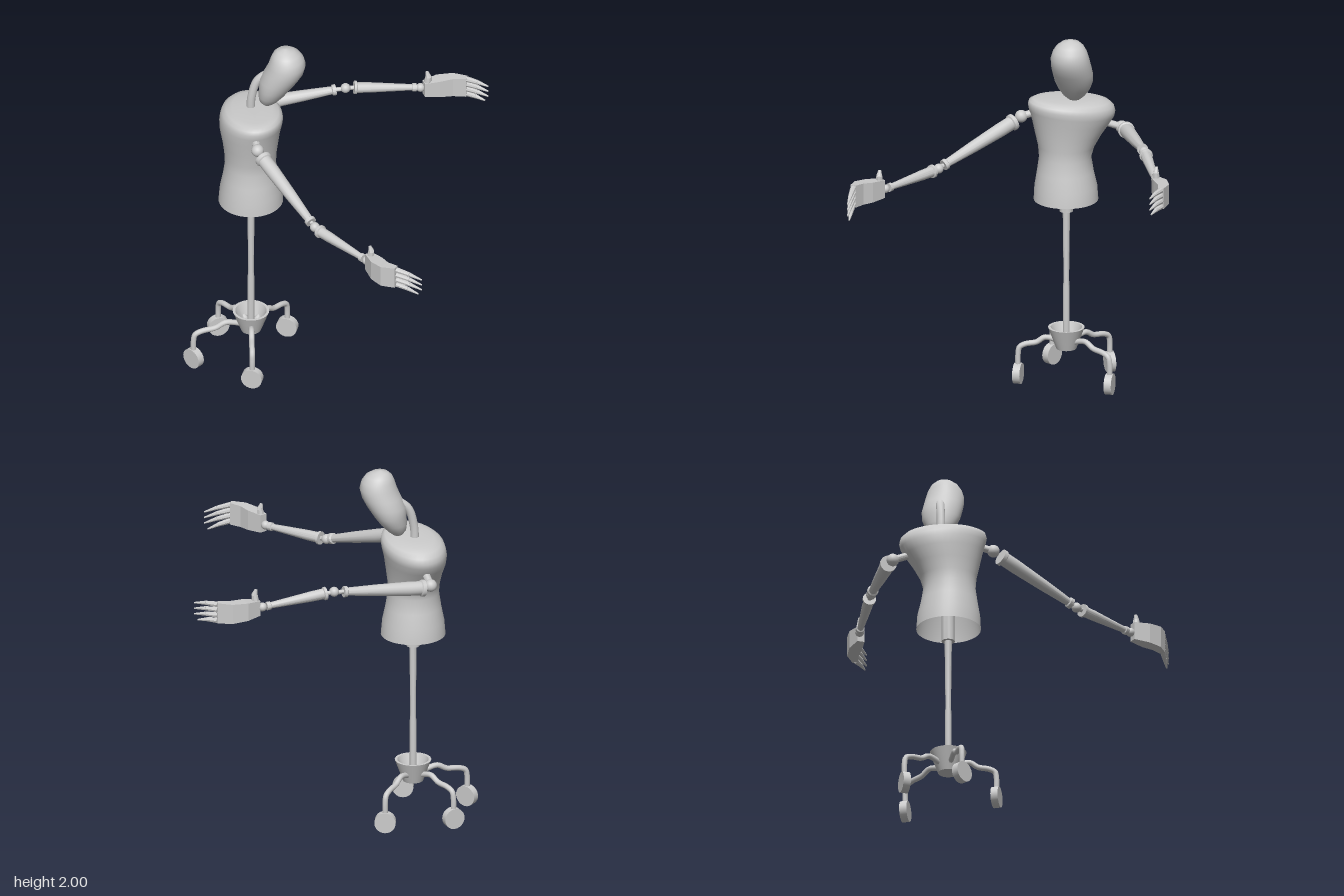
import * as THREE from 'three';
import { toCreasedNormals } from 'three/addons/utils/BufferGeometryUtils.js';

const V = (x, y, z) => new THREE.Vector3(x, y, z);
const UP = V(0, 1, 0);
const material = new THREE.MeshStandardMaterial({ color: 0xcccccc });
const openMaterial = new THREE.MeshStandardMaterial({ color: 0xcccccc, side: THREE.DoubleSide });
const flatMaterial = new THREE.MeshStandardMaterial({ color: 0xcccccc, flatShading: true });

function add(group, name, geometry, mat = material) {
  const mesh = new THREE.Mesh(geometry, mat);
  mesh.name = name;
  group.add(mesh);
  return mesh;
}

// Skin joining closed rings of points, with optional flat caps
function loft(rings, capStart, capEnd) {
  const n = rings[0].length;
  const pos = rings.flat().flatMap((p) => [p.x, p.y, p.z]);
  const index = [];
  for (let i = 0; i < rings.length - 1; i++) {
    for (let j = 0; j < n; j++) {
      const a = i * n + j, b = i * n + ((j + 1) % n);
      index.push(a, b, b + n, a, b + n, a + n);
    }
  }
  const last = (rings.length - 1) * n;
  for (let j = 1; j < n - 1; j++) {
    if (capStart) index.push(0, j + 1, j);
    if (capEnd) index.push(last, last + j, last + j + 1);
  }
  const g = new THREE.BufferGeometry();
  g.setAttribute('position', new THREE.Float32BufferAttribute(pos, 3));
  g.setIndex(index);
  g.computeVertexNormals();
  return g;
}

// Elliptical ring: a along u, b along v
function ellipse(c, u, v, a, b, tilt = 0, n = 40) {
  return Array.from({ length: n }, (_, j) => {
    const t = (j / n) * Math.PI * 2, s = a * Math.cos(t);
    const p = c.clone().addScaledVector(u, s).addScaledVector(v, b * Math.sin(t));
    p.y += tilt * s;
    return p;
  });
}

// Turned part from a to b; profile is [radius, fraction of the length]
function turned(group, name, a, b, profile, sides = 20) {
  const length = a.distanceTo(b);
  const pts = profile.map(([r, t]) => new THREE.Vector2(r, t * length));
  const mesh = add(group, name, toCreasedNormals(new THREE.LatheGeometry(pts, sides), 0.6));
  mesh.position.copy(a);
  mesh.quaternion.setFromUnitVectors(UP, b.clone().sub(a).normalize());
  return mesh;
}
const cone = (group, name, a, b, ra, rb, sides) =>
  turned(group, name, a, b, [[0, 0], [ra, 0], [rb, 1], [0, 1]], sides);

function ball(group, name, p, r) {
  add(group, name, new THREE.SphereGeometry(r, 20, 14)).position.copy(p);
}

function tube(group, name, points, r) {
  const curve = new THREE.CatmullRomCurve3(points);
  add(group, name, new THREE.TubeGeometry(curve, 32, r, 12));
}

const UPPER = [[0, 0], [0.045, 0], [0.045, 0.04], [0.038, 0.05], [0.038, 0.2], [0.031, 0.6],
  [0.022, 0.95], [0.03, 0.96], [0.03, 1], [0, 1]];
const FOREARM = [[0, 0], [0.036, 0], [0.036, 0.04], [0.029, 0.05], [0.028, 0.25], [0.017, 0.93],
  [0.023, 0.94], [0.023, 1], [0, 1]];

// Palm, thumb and four tapered fingers
function makeHand(group, side, h) {
  const hand = new THREE.Group();
  hand.name = side + 'Hand';
  group.add(hand);
  const path = h.palm.map(([x, y, z]) => V(x, y, z));
  const thick = [0.02, 0.036, 0.03, 0.016];
  const rings = path.map((p, i) => {
    const d = path[Math.min(i + 1, 3)].clone().sub(path[Math.max(i - 1, 0)]).setY(0).normalize();
    const u = UP.clone().cross(d);
    return [[1, -1], [1, 1], [-1, 1], [-1, -1]].map(([s, t]) =>
      p.clone().addScaledVector(u, s * thick[i]).addScaledVector(UP, t * h.height[i]));
  });
  add(hand, side + 'Palm', loft(rings, true, true), flatMaterial);
  const knuckle = path[3], tip = V(...h.tip);
  for (let i = 0; i < 4; i++) {
    const k = 1 - (2 * i) / 3;
    const a = knuckle.clone().add(V(0, k * 0.046, 0));
    const b = tip.clone().add(V(i === 3 ? -0.02 : 0, k * 0.048, 0));
    const m = a.clone().lerp(b, 0.5).add(V(0, 0.004, 0));
    cone(hand, side + 'Finger', a, m, 0.016, 0.012, 8);
    cone(hand, side + 'FingerTip', m, b, 0.012, 0.004, 8);
  }
  const base = path[0].clone().lerp(path[1], 0.25).add(V(0, 0.03, 0));
  const mid = base.clone().add(V(0.005, 0.045, 0));
  cone(hand, side + 'Thumb', base, mid, 0.022, 0.017, 8);
  cone(hand, side + 'ThumbTip', mid, mid.clone().add(V(-0.008, 0.03, 0)), 0.017, 0.008, 8);
}

function makeArm(side, a) {
  const arm = new THREE.Group();
  arm.name = side + 'Arm';
  const p = a.joints.map((q) => V(...q));
  cone(arm, side + 'ShoulderPeg', p[0], p[1], 0.02, 0.02, 16);
  ball(arm, side + 'ShoulderBall', p[1], 0.034);
  turned(arm, side + 'UpperArm', p[2], p[3], UPPER);
  cone(arm, side + 'ElbowPin', p[3], p[5], 0.012, 0.012, 12);
  ball(arm, side + 'ElbowBall', p[4], 0.027);
  turned(arm, side + 'Forearm', p[5], p[6], FOREARM);
  ball(arm, side + 'WristBall', p[7], 0.024);
  makeHand(arm, side, a.hand);
  return arm;
}

export function createModel() {
  const model = new THREE.Group();
  const cx = -0.503, cz = 0.072;

  // Torso: round at the hem, wide across the shoulders, open underneath
  const across = V(0.53, 0, 0.848), forward = V(0.848, 0, -0.53);
  const torso = [ // y, x, z, half width, half depth, tilt
    [1.04, -0.503, 0.074, 0.173, 0.173, 0], [1.12, -0.503, 0.075, 0.168, 0.166, 0],
    [1.2, -0.503, 0.078, 0.152, 0.149, 0], [1.28, -0.503, 0.079, 0.14, 0.137, 0],
    [1.34, -0.506, 0.074, 0.151, 0.139, 0.02], [1.41, -0.51, 0.065, 0.178, 0.148, 0.05],
    [1.48, -0.517, 0.054, 0.208, 0.16, 0.09], [1.53, -0.515, 0.047, 0.23, 0.167, 0.11],
    [1.56, -0.511, 0.045, 0.236, 0.166, 0.11], [1.585, -0.509, 0.045, 0.229, 0.159, 0.1],
    [1.602, -0.507, 0.045, 0.207, 0.14, 0.08], [1.612, -0.507, 0.045, 0.165, 0.108, 0.06],
    [1.615, -0.507, 0.045, 0.08, 0.05, 0.05],
  ].map(([y, x, z, a, b, t]) => ellipse(V(x, y, z), across, forward, a, b, t));
  add(model, 'torso', loft(torso, false, true), openMaterial);

  // Neck and head
  tube(model, 'neck', [V(-0.522, 1.56, 0.035), V(-0.515, 1.68, 0.035),
    V(-0.487, 1.78, 0.02), V(-0.42, 1.84, -0.01)], 0.023);
  const head = [ // y, min x, max x, z, half width
    [1.627, -0.442, -0.43, 0, 0.006], [1.635, -0.462, -0.41, 0, 0.03], [1.66, -0.48, -0.38, -0.002, 0.058],
    [1.7, -0.486, -0.345, -0.008, 0.085], [1.75, -0.482, -0.31, -0.014, 0.104],
    [1.8, -0.48, -0.275, -0.017, 0.109], [1.85, -0.455, -0.246, -0.018, 0.108],
    [1.9, -0.432, -0.233, -0.018, 0.104], [1.94, -0.42, -0.243, -0.018, 0.092],
    [1.97, -0.407, -0.264, -0.018, 0.073], [1.99, -0.386, -0.295, -0.018, 0.046],
    [2.0, -0.351, -0.336, -0.018, 0.008],
  ].map(([y, x0, x1, z, w]) =>
    ellipse(V((x0 + x1) / 2, y, z), V(0, 0, 1), V(1, 0, 0), w, (x1 - x0) / 2));
  add(model, 'head', loft(head, true, true));

  // Arms
  model.add(makeArm('left', {
    joints: [[-0.42, 1.54, 0.21], [-0.375, 1.52, 0.28], [-0.335, 1.5, 0.305], [0.055, 1.345, 0.553],
      [0.083, 1.333, 0.57], [0.117, 1.328, 0.588], [0.43, 1.318, 0.717], [0.452, 1.318, 0.728]],
    hand: {
      palm: [[0.465, 1.325, 0.735], [0.535, 1.326, 0.785], [0.595, 1.328, 0.82], [0.665, 1.332, 0.825]],
      height: [0.05, 0.056, 0.06, 0.062], tip: [0.805, 1.285, 0.8],
    },
  }));
  model.add(makeArm('right', {
    joints: [[-0.615, 1.46, -0.11], [-0.657, 1.43, -0.184], [-0.63, 1.427, -0.22], [-0.245, 1.472, -0.474],
      [-0.2, 1.478, -0.5], [-0.162, 1.476, -0.525], [0.125, 1.445, -0.7], [0.145, 1.443, -0.71]],
    hand: {
      palm: [[0.165, 1.44, -0.71], [0.225, 1.44, -0.765], [0.29, 1.438, -0.81], [0.365, 1.438, -0.825]],
      height: [0.042, 0.05, 0.055, 0.058], tip: [0.495, 1.43, -0.815],
    },
  }));

  // Stand: collar, pole and hollow hub
  cone(model, 'collar', V(cx, 0.97, cz), V(cx, 1.2, cz), 0.036, 0.036, 24);
  turned(model, 'pole', V(cx, 0.2, cz), V(cx, 1, cz),
    [[0, 0], [0.018, 0], [0.018, 0.42], [0.015, 0.48], [0.02, 1], [0, 1]]);
  const hubPoints = [[0, 0.195], [0.054, 0.195], [0.098, 0.315], [0.084, 0.315], [0.05, 0.23], [0, 0.23]];
  const hub = new THREE.LatheGeometry(hubPoints.map(([r, y]) => new THREE.Vector2(r, y)), 32);
  add(model, 'hub', toCreasedNormals(hub, 0.6), openMaterial).position.set(cx, 0, cz);

  // Four bent legs, each with a caster; the last value is the wheel's heading
  const casters = [[-0.757, -0.075, 0.67], [-0.415, -0.213, 0.15], [-0.757, 0.257, -0.35], [-0.395, 0.306, 0.15]];
  casters.forEach(([x, z, heading]) => {
    const at = (t, y) => V(cx + (x - cx) * t, y, cz + (z - cz) * t);
    tube(model, 'leg', [at(0.15, 0.235), at(0.28, 0.25), at(0.45, 0.258), at(0.62, 0.232),
      at(0.85, 0.222), at(0.97, 0.205), at(1, 0.17), at(1, 0.08)], 0.015);
    const wheel = add(model, 'wheel', new THREE.CylinderGeometry(0.057, 0.057, 0.04, 28));
    wheel.rotation.set(Math.PI / 2, heading, 0, 'YXZ');
    wheel.position.set(x, 0.06, z);
  });

  // Rest the casters on the ground
  model.children.forEach((part) => { part.position.y -= part.name === 'wheel' ? 0.003 : 0; });
  return model;
}
